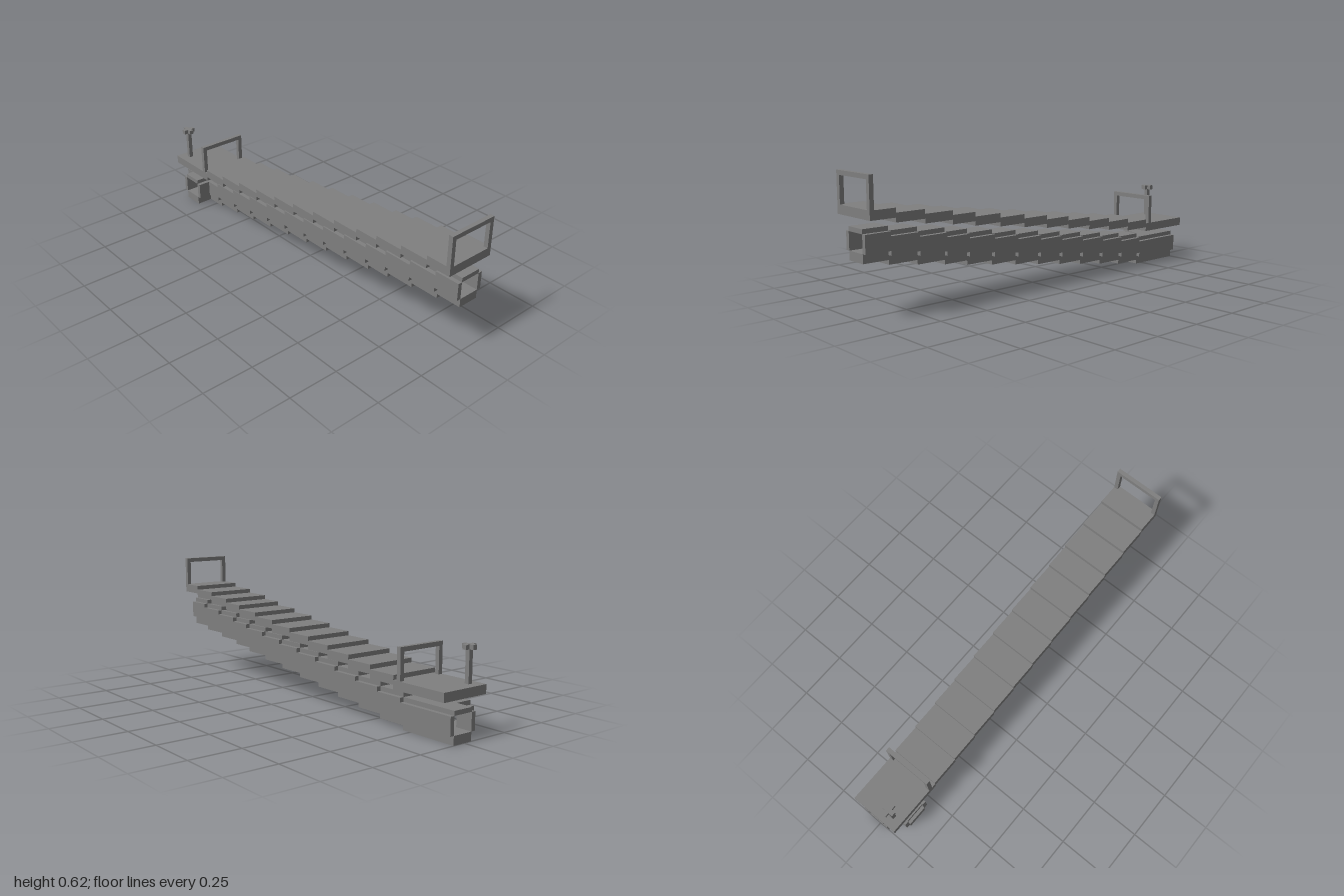
import * as THREE from 'three';

// All parts sit on a grid of 96 cells along the length and 12 across.
const U = 1 / 48;

export function createModel() {
  const model = new THREE.Group();
  const grey = new THREE.MeshStandardMaterial({ color: 0x7f7f7f });
  grey.name = 'grey';

  // Box from grid limits; x runs 0..12 and z runs 0 (back) to 96 (front)
  function box(parent, name, [x0, x1], [y0, y1], [z0, z1]) {
    const geometry = new THREE.BoxGeometry((x1 - x0) * U, (y1 - y0) * U, (z1 - z0) * U);
    const mesh = new THREE.Mesh(geometry, grey);
    mesh.position.set(((x0 + x1) / 2 - 6) * U, ((y0 + y1) / 2) * U, ((z0 + z1) / 2 - 48) * U);
    mesh.name = name;
    parent.add(mesh);
  }

  function group(name) {
    const g = new THREE.Group();
    g.name = name;
    model.add(g);
    return g;
  }

  const stairs = group('stairs');
  const tunnel = group('tunnel');

  // Stepped deck with the hollow tunnel below it, each step one cell higher
  const edges = [0, 14, 21, 28, 35, 42, 49, 56, 63, 70, 76, 83, 90, 96];
  for (let i = 0; i < edges.length - 1; i++) {
    const z = [edges[i], edges[i + 1]];
    box(stairs, i ? 'step' : 'landing', [0, 12], [9 + i, 11 + i], z);
    box(tunnel, 'tunnelFloor', [4, 9], [i, i + 2], z);
    box(tunnel, 'tunnelRoof', [4, 9], [i + 6, i + 7], z);
    box(tunnel, 'tunnelLeftWall', [9, 10], [i + 2, i + 6], z);
    // The right wall leaves a gap for the side passage under the landing
    const spans = i ? [z] : [[0, 3], [10, 14]];
    for (const s of spans) box(tunnel, 'tunnelRightWall', [3, 4], [i + 2, i + 6], s);
  }

  // Side passage opening to the right
  const passage = group('sidePassage');
  box(passage, 'passageFloor', [0, 4], [0, 2], [4, 9]);
  box(passage, 'passageRoof', [0, 4], [6, 7], [4, 9]);
  for (const z of [3, 9]) box(passage, 'passageWall', [0, 4], [2, 6], [z, z + 1]);

  // Square hoops at both ends of the stairs
  for (const [name, y, z] of [['lowerHoop', 11, 12], ['upperHoop', 23, 95]]) {
    const hoop = group(name);
    for (const x of [0, 11]) box(hoop, 'hoopPost', [x, x + 1], [y, y + 6], [z, z + 1]);
    box(hoop, 'hoopBar', [0, 12], [y + 6, y + 7], [z, z + 1]);
  }

  // Post with a cross-shaped top on the landing
  const valve = group('crossPost');
  box(valve, 'stem', [2, 3], [11, 18], [2, 3]);
  box(valve, 'crossBar', [1, 4], [18, 19], [2, 3]);
  for (const z of [1, 3]) box(valve, 'crossArm', [2, 3], [18, 19], [z, z + 1]);

  return model;
}
